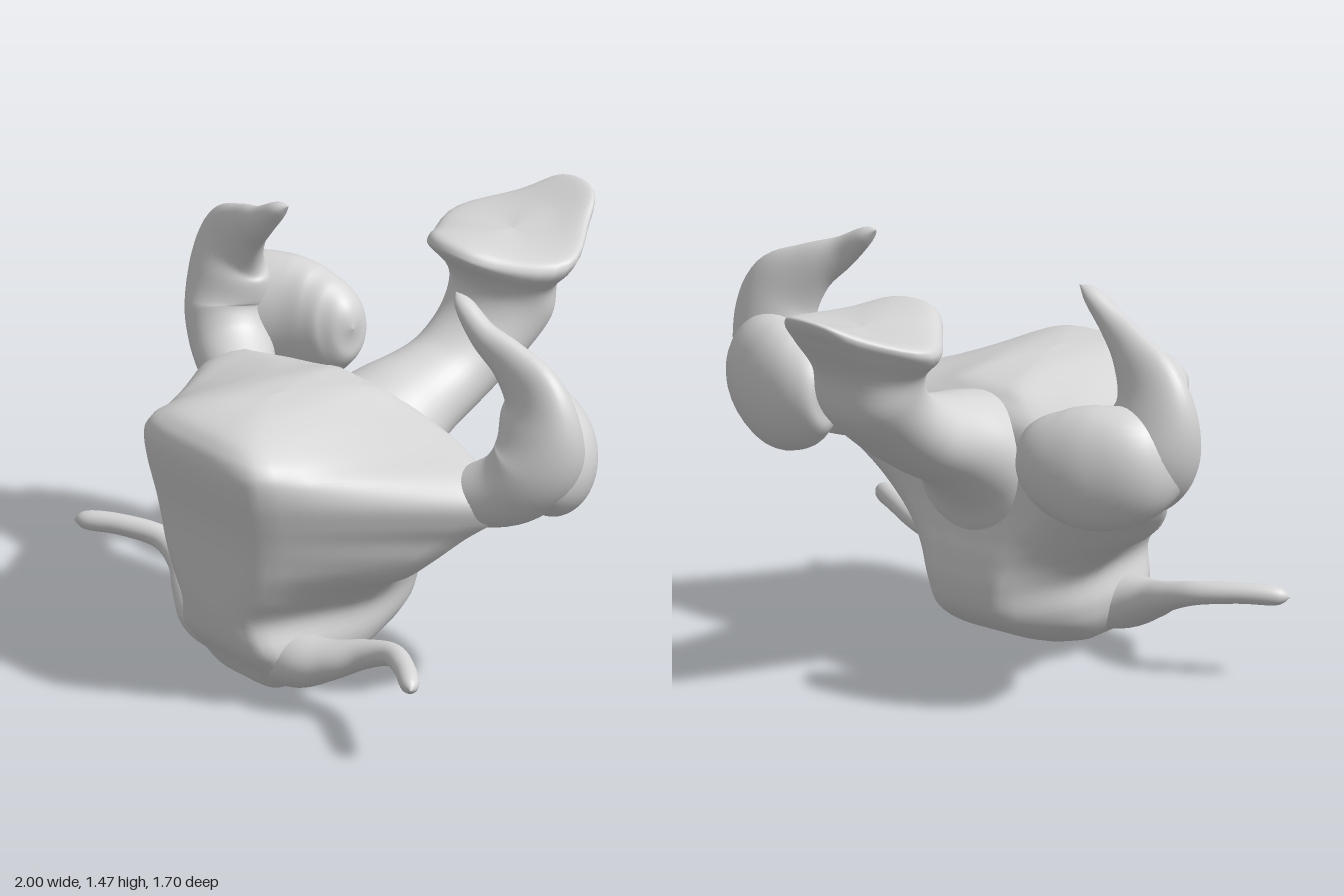
import * as THREE from 'three';

const SEG = 40; // points around every ring

// Smooth a short list of stations (number arrays) with Catmull-Rom steps.
function smooth(rows, steps = 6) {
  const out = [];
  const at = (i) => rows[Math.min(Math.max(i, 0), rows.length - 1)];
  for (let i = 0; i < rows.length - 1; i++) {
    for (let s = 0; s < steps; s++) {
      const t = s / steps;
      out.push(rows[i].map((b, k) => {
        const a = at(i - 1)[k], c = at(i + 1)[k], d = at(i + 2)[k];
        return b + 0.5 * t * (c - a + t * (2 * a - 5 * b + 4 * c - d + t * (3 * (b - c) + d - a)));
      }));
    }
  }
  out.push(rows[rows.length - 1]);
  return out;
}

// Skin a list of closed rings, each running counter-clockwise about the path.
function loft(rings) {
  const index = [];
  for (let i = 0; i < rings.length - 1; i++) {
    for (let j = 0; j < SEG; j++) {
      const k = (j + 1) % SEG;
      const a = i * SEG + j, b = i * SEG + k;
      index.push(a, b, a + SEG, b, b + SEG, a + SEG);
    }
  }
  const geometry = new THREE.BufferGeometry().setFromPoints(rings.flat());
  geometry.setIndex(index);
  geometry.computeVertexNormals();
  return geometry;
}

// Limb with oval sections; stations are [x, y, z, radius in plane, radius along ref].
function limb(stations, ref, mirror) {
  const rows = smooth(stations.map(([x, ...rest]) => [x * mirror, ...rest]));
  const centres = rows.map((r) => new THREE.Vector3(r[0], r[1], r[2]));
  const last = rows.length - 1;
  return loft(rows.map((r, i) => {
    const tangent = centres[Math.min(i + 1, last)].clone().sub(centres[Math.max(i - 1, 0)]).normalize();
    const side = ref.clone().cross(tangent).normalize();
    const up = tangent.clone().cross(side);
    return Array.from({ length: SEG }, (_, j) => {
      const a = (j / SEG) * Math.PI * 2;
      return centres[i].clone()
        .addScaledVector(side, Math.cos(a) * Math.max(r[3], 0.001))
        .addScaledVector(up, Math.sin(a) * Math.max(r[4], 0.001));
    });
  }));
}

// Body: [y, front z, back z, front half width, shoulder half width, rear half width,
// shoulder position from the back as a fraction of the depth].
function bodyGeometry() {
  const rows = [
    [0.0, 0.50, 0.47, 0, 0, 0, 0.4],
    [0.03, 0.61, 0.36, 0.14, 0.15, 0.10, 0.4],
    [0.11, 0.67, 0.15, 0.22, 0.23, 0.16, 0.4],
    [0.20, 0.74, 0.01, 0.24, 0.26, 0.18, 0.4],
    [0.31, 0.77, -0.03, 0.21, 0.27, 0.20, 0.4],
    [0.41, 0.78, -0.025, 0.26, 0.37, 0.24, 0.42],
    [0.50, 0.785, -0.01, 0.30, 0.52, 0.31, 0.42],
    [0.58, 0.79, 0.0, 0.32, 0.61, 0.40, 0.36],
    [0.66, 0.80, 0.0, 0.335, 0.68, 0.50, 0.27],
    [0.73, 0.815, 0.0, 0.345, 0.75, 0.60, 0.2],
    [0.81, 0.835, 0.0, 0.35, 0.765, 0.64, 0.18],
    [0.88, 0.845, 0.01, 0.345, 0.66, 0.54, 0.18],
    [0.925, 0.84, 0.03, 0.33, 0.48, 0.37, 0.2],
    [0.965, 0.82, 0.07, 0.29, 0.33, 0.25, 0.25],
    [1.005, 0.77, 0.13, 0.21, 0.21, 0.16, 0.4],
    [1.032, 0.66, 0.27, 0.11, 0.11, 0.09, 0.4],
    [1.042, 0.5, 0.45, 0, 0, 0, 0.4],
  ];
  return loft(smooth(rows, 5).map(([y, zf, zb, wf, ws, wr, t]) => {
    const d = zf - zb;
    const half = [
      [wf * 0.7, zf - d * 0.01], [wf, zf - d * 0.11],
      [(wf + ws) * 0.51, zb + d * (0.89 + t) * 0.5], [ws, zb + d * t],
      [ws * 0.45 + wr * 0.55, zb + d * (t * 0.45 + 0.02)], [wr * 0.8, zb + d * 0.02], [wr * 0.4, zb],
    ];
    const mirrored = half.map(([x, z]) => [-x, z]).reverse();
    const outline = [[0, zf], ...half, [0, zb], ...mirrored]
      .map(([x, z]) => new THREE.Vector3(x, y, z));
    const curve = new THREE.CatmullRomCurve3(outline, true, 'catmullrom');
    return curve.getPoints(SEG).slice(0, SEG);
  }));
}

// Rear stalk flaring to a spade: [top z, top y, under z, under y, half width, side sag].
function stalkGeometry() {
  const rows = [
    [0.30, 0.95, 0.14, 0.36, 0.25, 0],
    [0.12, 0.975, 0.01, 0.48, 0.25, 0],
    [0.0, 1.0, -0.055, 0.60, 0.22, 0],
    [-0.12, 1.02, -0.16, 0.70, 0.185, 0],
    [-0.22, 1.05, -0.32, 0.79, 0.17, 0],
    [-0.31, 1.12, -0.50, 0.91, 0.18, 0],
    [-0.345, 1.20, -0.65, 1.05, 0.20, 0],
    [-0.32, 1.27, -0.69, 1.22, 0.225, 0.03],
    [-0.255, 1.345, -0.79, 1.36, 0.29, 0.07],
    [-0.245, 1.375, -0.845, 1.435, 0.305, 0.08],
    [-0.28, 1.40, -0.835, 1.465, 0.275, 0.08],
    [-0.40, 1.385, -0.70, 1.40, 0.15, 0.03],
    [-0.55, 1.365, -0.55, 1.365, 0, 0],
  ];
  return loft(smooth(rows).map(([zt, yt, zu, yu, w, sag]) =>
    Array.from({ length: SEG }, (_, j) => {
      const a = (j / SEG) * Math.PI * 2;
      const c = Math.cos(a), s = Math.sin(a);
      const taper = 1 - (c > 0 ? 10 : 12.5) * sag * c * c * s * s; // pulls the oval into a diamond
      return new THREE.Vector3(
        w * s * taper,
        (yt + yu) / 2 + c * (yt - yu) / 2 - sag * s * s,
        (zt + zu) / 2 + c * (zt - zu) / 2,
      );
    })));
}

// Arm sweeping out and up into a thin hooked finger.
const ARM = [
  [0.48, 0.76, 0.15, 0.07, 0.08],
  [0.62, 0.785, 0.125, 0.105, 0.12],
  [0.75, 0.845, 0.06, 0.135, 0.145],
  [0.825, 0.95, 0.01, 0.155, 0.155],
  [0.832, 1.08, 0.0, 0.168, 0.115],
  [0.80, 1.185, 0.005, 0.148, 0.075],
  [0.705, 1.28, 0.03, 0.09, 0.055],
  [0.60, 1.35, 0.06, 0.056, 0.045],
  [0.50, 1.43, 0.065, 0.03, 0.034],
  [0.45, 1.46, 0.06, 0.001, 0.001],
];

// Thick rounded thumb curling behind the arm.
const THUMB = [
  [0.88, 0.95, 0.03, 0.09, 0.14],
  [0.815, 0.93, -0.065, 0.15, 0.20],
  [0.70, 0.91, -0.145, 0.145, 0.22],
  [0.59, 0.915, -0.185, 0.13, 0.20],
  [0.505, 0.93, -0.20, 0.11, 0.155],
  [0.45, 0.94, -0.20, 0.07, 0.095],
  [0.425, 0.94, -0.20, 0.001, 0.001],
];

// Slim feeler curling forward from the underside.
const FEELER = [
  [0.08, 0.13, 0.54, 0.10, 0.09],
  [0.24, 0.16, 0.56, 0.11, 0.092],
  [0.37, 0.20, 0.53, 0.08, 0.068],
  [0.49, 0.25, 0.485, 0.055, 0.05],
  [0.62, 0.29, 0.475, 0.042, 0.04],
  [0.76, 0.305, 0.535, 0.037, 0.036],
  [0.87, 0.302, 0.60, 0.032, 0.032],
  [0.905, 0.298, 0.625, 0.001, 0.001],
];

export function createModel() {
  const model = new THREE.Group();
  model.name = 'creature';
  const grey = new THREE.MeshStandardMaterial({ color: 0xd6d6d6 });
  grey.name = 'light grey';

  const add = (name, geometry) => {
    const mesh = new THREE.Mesh(geometry, grey);
    mesh.name = name;
    model.add(mesh);
  };

  add('body', bodyGeometry());
  add('stalk', stalkGeometry());

  const up = new THREE.Vector3(0, 1, 0);
  const forward = new THREE.Vector3(0, 0, 1);
  for (const [side, mirror] of [['left', 1], ['right', -1]]) {
    add(side + 'Arm', limb(ARM, forward, mirror));
    add(side + 'Thumb', limb(THUMB, up, mirror));
    add(side + 'Feeler', limb(FEELER, up, mirror));
  }
  return model;
}
